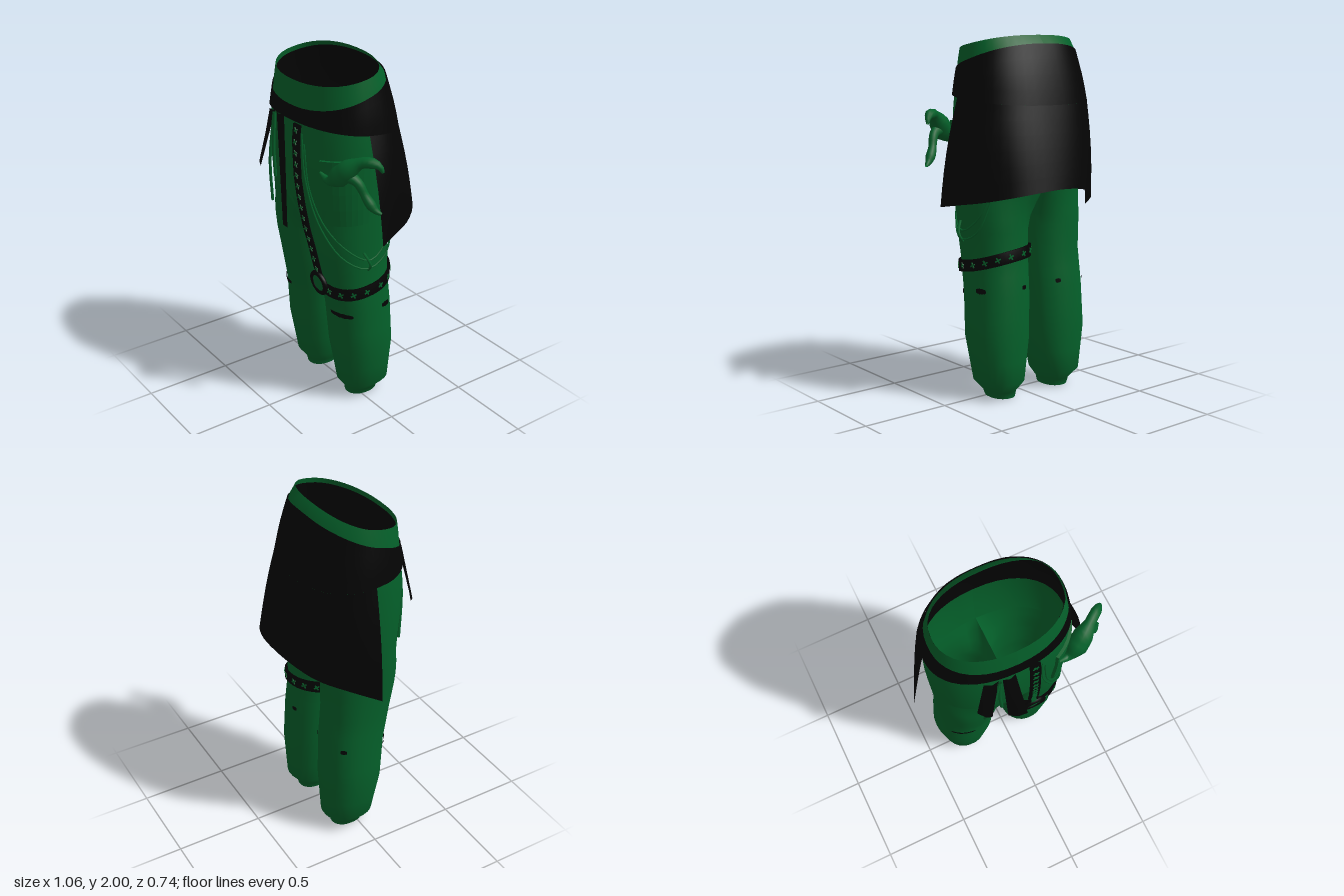
import * as THREE from 'three';

const V = (x, y, z) => new THREE.Vector3(x, y, z);
const MID = -0.045, CROTCH = 1.25, DEG = Math.PI / 180;

// Body profile: height, outer half width, front z, back z, half gap between legs
const PROFILE = [
  [2.0, 0.325, 0.25, -0.14, 0], [1.95, 0.345, 0.262, -0.188, 0], [1.88, 0.358, 0.272, -0.203, 0],
  [1.75, 0.378, 0.285, -0.228, 0], [1.6, 0.39, 0.302, -0.245, 0], [1.4, 0.39, 0.3, -0.24, 0],
  [1.25, 0.385, 0.285, -0.22, 0], [1.1, 0.377, 0.262, -0.19, 0], [1.0, 0.37, 0.24, -0.177, 0.005],
  [0.8, 0.36, 0.205, -0.175, 0.012], [0.6, 0.367, 0.165, -0.193, 0.02], [0.35, 0.375, 0.145, -0.203, 0.03],
  [0.1, 0.335, 0.105, -0.192, 0.07], [0.04, 0.28, 0.06, -0.14, 0.11], [0.005, 0.265, 0.055, -0.135, 0.12],
];

function profileAt(y) {
  if (y >= PROFILE[0][0]) return PROFILE[0];
  for (let i = 1; i < PROFILE.length; i++) {
    const a = PROFILE[i - 1], b = PROFILE[i];
    if (y >= b[0]) return a.map((v, k) => THREE.MathUtils.lerp(v, b[k], (a[0] - y) / (a[0] - b[0])));
  }
  return PROFILE[PROFILE.length - 1];
}

const rounded = (v, p) => Math.sign(v) * Math.abs(v) ** p;

// Point on the hips; angle 0 is the front, 90 degrees is +x
function hipPoint(a, y, off = 0) {
  const [, w, zf, zb] = profileAt(y);
  return V(MID + (w + off) * rounded(Math.sin(a), 0.9), y,
    (zf + zb) / 2 + ((zf - zb) / 2 + off) * rounded(Math.cos(a), 0.9));
}

// Point on one leg; angle 0 is the front, 90 degrees is the outer side
function legPoint(side, a, y, off = 0) {
  const [, w, zf, zb, gap] = profileAt(y);
  return V(MID + side * ((w + gap) / 2 + ((w - gap) / 2 + off) * rounded(Math.sin(a), 0.9)), y,
    (zf + zb) / 2 + ((zf - zb) / 2 + off) * rounded(Math.cos(a), 0.9));
}

// Skin between rows of points
function loft(rows, closed = false) {
  const n = rows[0].length, idx = [];
  for (let i = 0; i < rows.length - 1; i++) {
    for (let j = 0; j < (closed ? n : n - 1); j++) {
      const a = i * n + j, b = i * n + (j + 1) % n;
      idx.push(a, a + n, b, b, a + n, b + n);
    }
  }
  const g = new THREE.BufferGeometry().setFromPoints(rows.flat());
  g.setIndex(idx);
  g.computeVertexNormals();
  return g;
}

const range = (n, f) => Array.from({ length: n + 1 }, (_, i) => f(i / n, i));

// Round tube whose radius follows a list of values
function taperTube(points, radii, sides = 10, steps = 18) {
  const curve = new THREE.CatmullRomCurve3(points), frames = curve.computeFrenetFrames(steps);
  return loft(range(steps, (t, i) => {
    const k = Math.min(t * (radii.length - 1), radii.length - 1.001), f = Math.floor(k);
    const r = THREE.MathUtils.lerp(radii[f], radii[f + 1], k - f), c = curve.getPointAt(t);
    return range(sides - 1, (_, j) => c.clone()
      .addScaledVector(frames.normals[i], r * Math.cos(j / sides * 2 * Math.PI))
      .addScaledVector(frames.binormals[i], r * Math.sin(j / sides * 2 * Math.PI)));
  }), true);
}

export function createModel() {
  const model = new THREE.Group();
  const green = new THREE.MeshStandardMaterial({ name: 'green cloth', color: 0x04602a, side: THREE.DoubleSide });
  const black = new THREE.MeshStandardMaterial({ name: 'black cloth', color: 0x040404, side: THREE.DoubleSide });
  const add = (name, geometry, material) => {
    const m = new THREE.Mesh(geometry, material);
    m.name = name;
    model.add(m);
    return m;
  };

  // Trouser halves: hips above the crotch, a closed tube below
  const hipRows = [[1.952, 0.048], [1.9, 0.045], [1.84, 0.04], [1.75, 0.02], [1.6, 0], [1.4, 0], [CROTCH, 0]];
  const legRows = [CROTCH, 1.17, 1.1, 1.02, 0.95, 0.8, 0.7, 0.6, 0.47, 0.35, 0.22, 0.1, 0.04, 0.005];
  for (const side of [-1, 1]) {
    const label = side > 0 ? 'left' : 'right';
    add(label + 'Hip', loft(hipRows.map(([y, tilt]) => range(20, (t) => {
      const a = t * Math.PI;
      return hipPoint(side * a, y - tilt * Math.cos(a));
    }))), green);
    add(label + 'Leg', loft(legRows.map((y) => {
      const blend = THREE.MathUtils.smoothstep(CROTCH - y, 0, 0.3);
      const outer = range(20, (t) => hipPoint(side * t * Math.PI, y)
        .lerp(legPoint(side, (-50 + 280 * t) * DEG, y), blend));
      const [, , zf, zb] = profileAt(y);
      const inner = range(8, (t) => V(MID, y, THREE.MathUtils.lerp(zb, zf, t))
        .lerp(legPoint(side, (230 + 80 * t) * DEG, y), blend)).slice(1, -1);
      return [...outer, ...inner];
    }), true), green);
  }

  // Dark lining inside the waist
  add('waistLining', loft(hipRows.slice(0, 5).map(([y, tilt], i) => range(40, (t) => {
    const a = t * 2 * Math.PI;
    return hipPoint(a, y - tilt * Math.cos(a) - (i ? 0 : 0.025), -0.008);
  }))), black);

  // Cloth tied round the hips: band, then a flared back panel
  const bandLow = (a) => 1.665 + 0.035 * Math.cos(a);
  const lowOff = (a) => 0.012 + 0.028 * Math.max(0, -Math.cos(a));
  add('wrapBand', loft(range(4, (r) => range(48, (t) => {
    const a = t * 2 * Math.PI;
    return hipPoint(a, THREE.MathUtils.lerp(1.865 - 0.09 * Math.cos(a), bandLow(a), r),
      THREE.MathUtils.lerp(0.007, lowOff(a), r));
  }))), black);
  const hem = new THREE.CatmullRomCurve3([
    V(0.47, 1.09, 0.06), V(0.42, 1.11, -0.06), V(0.37, 1.13, -0.18), V(0.26, 1.16, -0.305), V(0.13, 1.18, -0.36),
    V(-0.03, 1.19, -0.375), V(-0.2, 1.17, -0.345), V(-0.32, 1.12, -0.27), V(-0.43, 1.07, -0.14), V(-0.53, 1.02, 0)]);
  add('wrapBackPanel', loft(range(6, (r) => range(28, (t) => {
    const a = (84 + 182 * t) * DEG, bulge = 0.016 * Math.sin(r * Math.PI);
    return hipPoint(a, bandLow(a), lowOff(a)).lerp(hem.getPoint(t), r)
      .add(V(bulge * Math.sin(a), 0, bulge * 0.3 * Math.cos(a)));
  }))), black);

  // Hanging ends of the knot
  const sash = (name, top, bottom) => add(name, loft(range(5, (t) => range(2, (u) => {
    const p = top[0].clone().lerp(top[1], u).lerp(bottom[0].clone().lerp(bottom[1], u), t);
    p.z += 0.012 * Math.sin(u * Math.PI);
    return p;
  }))), black);
  sash('shortSash', [V(-0.235, 1.7, 0.29), V(-0.16, 1.71, 0.305)], [V(-0.29, 1.41, 0.32), V(-0.225, 1.385, 0.365)]);
  sash('longSash', [V(-0.14, 1.71, 0.308), V(-0.07, 1.71, 0.308)], [V(-0.105, 1.085, 0.31), V(-0.005, 1.095, 0.345)]);

  // Thin cords: drawstrings and hip chains
  const cord = (name, pts, r) => add(name,
    new THREE.TubeGeometry(new THREE.CatmullRomCurve3(pts), 28, r, 6), green);
  cord('longDrawstring', [V(-0.16, 1.7, 0.312), V(-0.2, 1.42, 0.32), V(-0.235, 1.16, 0.29)], 0.009);
  cord('shortDrawstring', [V(-0.155, 1.7, 0.312), V(-0.16, 1.5, 0.32), V(-0.15, 1.34, 0.32)], 0.009);
  cord('longHipChain', [V(0.08, 1.65, 0.3), V(0.1, 1.4, 0.295), V(0.18, 1.15, 0.262), V(0.28, 0.97, 0.18),
    V(0.335, 0.9, 0.06), V(0.325, 0.95, -0.07), V(0.28, 1.15, -0.15)], 0.005);
  cord('shortHipChain', [V(0.1, 1.6, 0.3), V(0.13, 1.35, 0.29), V(0.21, 1.14, 0.24), V(0.31, 1.0, 0.14),
    V(0.34, 0.95, 0.04), V(0.32, 1.03, -0.08), V(0.28, 1.18, -0.15)], 0.005);
  cord('hangingLoop', [V(0.325, 1.0, 0.08), V(0.352, 0.95, 0.06), V(0.352, 0.92, 0.05), V(0.33, 0.89, 0.05)], 0.008);

  // Patch pocket on the left hip, with a crisp raised rim
  add('hipPocket', loft(range(6, (r, i) => range(10, (t, j) => {
    const rim = i === 0 || i === 6 || j === 0 || j === 10;
    const u = THREE.MathUtils.clamp((j - 1) / 8, 0, 1), v = THREE.MathUtils.clamp((i - 1) / 4, 0, 1);
    return hipPoint((34 + 50 * u) * DEG, THREE.MathUtils.lerp(1.53 + 0.02 * u, 1.16 + 0.02 * u, v), rim ? -0.004 : 0.016);
  })).map((row) => row)).toNonIndexed(), green).geometry.computeVertexNormals();

  // Curved horned ornament hooked in the pocket
  add('ornamentBody', taperTube([V(0.2, 1.47, 0.27), V(0.26, 1.44, 0.255), V(0.32, 1.48, 0.235), V(0.38, 1.54, 0.205),
    V(0.44, 1.58, 0.165), V(0.5, 1.57, 0.12), V(0.515, 1.535, 0.105)],
  [0.008, 0.026, 0.058, 0.054, 0.03, 0.028, 0.008]), green);
  add('ornamentTail', taperTube([V(0.35, 1.5, 0.22), V(0.415, 1.47, 0.19), V(0.45, 1.39, 0.16), V(0.49, 1.33, 0.135),
    V(0.52, 1.31, 0.115)], [0.04, 0.026, 0.022, 0.028, 0.008]), green);

  // Crossed stitched mark lying on a strap
  const mark = (at, outward) => {
    const g = new THREE.Group();
    g.name = 'strapMark';
    for (const turn of [0.5, 2.1]) {
      const bar = new THREE.Mesh(new THREE.BoxGeometry(0.034, 0.008, 0.004), green);
      bar.rotation.z = turn;
      g.add(bar);
    }
    g.position.copy(at);
    g.lookAt(at.clone().add(outward));
    model.add(g);
  };

  // Strap down the front of the left thigh
  const strapAt = (t) => {
    const y = THREE.MathUtils.lerp(1.69, 0.82, t);
    return V(0.042 + 0.06 * t * t, y, profileAt(y)[2] + 0.008);
  };
  add('thighStrap', loft(range(24, (t) => [[-1, -1], [-1, 1], [1, 1], [1, -1]].map(([u, w]) =>
    strapAt(t).add(V(u * 0.029, 0, w * 0.006)))), true), black);
  for (let i = 0; i < 14; i++) mark(strapAt((i + 0.5) / 14).add(V(0, 0, 0.008)), V(0, 0, 1));

  // Slanted belt round the left leg
  const beltAt = (a, dy, off) => {
    const y = 0.785 - 0.04 * Math.cos(a) - 0.025 * Math.sin(a);
    const p = legPoint(1, a, y, off);
    p.y += dy;
    return p;
  };
  add('legBelt', loft([[-0.033, 0.004], [-0.033, 0.016], [0.033, 0.016], [0.033, 0.004], [-0.033, 0.004]]
    .map(([dy, off]) => range(39, (_, i) => beltAt(i / 40 * 2 * Math.PI, dy, off))), true), black);
  for (let i = 0; i < 16; i++) {
    const a = (i + 0.5) / 16 * 2 * Math.PI;
    mark(beltAt(a, 0, 0.018), V(Math.sin(a), 0, Math.cos(a)));
  }

  // Ring joining strap and belt, with cloth showing through it
  const ring = add('strapRing', new THREE.TorusGeometry(0.06, 0.015, 8, 28), black);
  ring.position.set(0.105, 0.765, 0.217);
  ring.rotation.x = 0.15;
  const opening = add('ringOpening', new THREE.CircleGeometry(0.055, 24), green);
  opening.position.set(0.105, 0.765, 0.224);
  opening.rotation.x = 0.15;

  // Dark tears: side, centre angle, half angle, height, half height
  const tears = [[-1, 25, 23, 0.59, 0.015], [1, 24, 24, 0.59, 0.015], [1, 112, 10, 0.63, 0.016],
    [1, 195, 5, 0.64, 0.013], [-1, 132, 6, 0.62, 0.014], [-1, 203, 5, 0.64, 0.013]];
  for (const [side, centre, half, y, h] of tears) {
    add('clothTear', loft([-1, 1].map((v) => range(12, (t, i) => {
      const taper = Math.sin(Math.PI * (0.08 + 0.84 * t)) ** 0.4 * (i % 3 ? 1 : 0.8);
      return legPoint(side, (centre + half * (2 * t - 1)) * DEG, y + v * h * taper, 0.006);
    }))), black);
  }
  return model;
}
